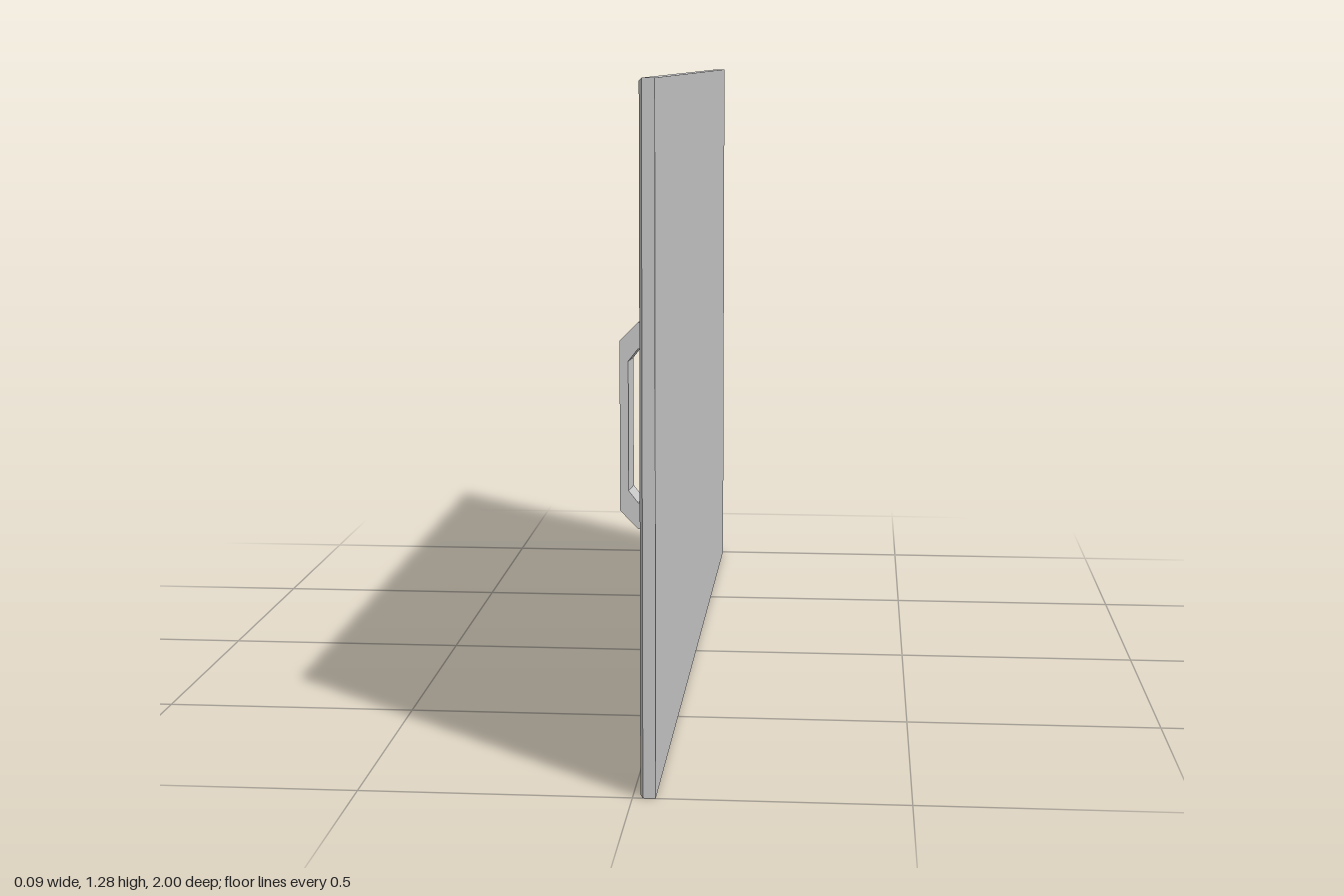
import * as THREE from 'three';

const material = new THREE.MeshStandardMaterial({ color: 0xcccccc, flatShading: true });

function box(name, x0, x1, y0, y1, z0, z1) {
  const geometry = new THREE.BoxGeometry(x1 - x0, y1 - y0, z1 - z0);
  geometry.translate((x0 + x1) / 2, (y0 + y1) / 2, (z0 + z1) / 2);
  const mesh = new THREE.Mesh(geometry, material);
  mesh.name = name;
  return mesh;
}

export function createModel() {
  const group = new THREE.Group();
  group.name = 'cabinetDoor';
  const height = 1.28, bevel = 0.005;

  // Door slab
  group.add(box('doorPanel', 0.019, 0.042, 0, height, -1, 1));

  // Narrow chamfer around the handle-side face
  const face = box('chamferedFace', 0.014, 0.019, 0, height, -1, 1);
  const p = face.geometry.attributes.position;
  for (let i = 0; i < p.count; i++) {
    if (p.getX(i) > 0.016) continue;
    p.setY(i, p.getY(i) > 0.5 ? height - bevel : bevel);
    p.setZ(i, Math.sign(p.getZ(i)) * (1 - bevel));
  }
  face.geometry.computeVertexNormals();
  group.add(face);

  // Angular pull handle: upper half of the profile, mirrored about its middle
  const middle = 0.634, z0 = 0.702, z1 = 0.757;
  const outer = [[0.016, 0.195], [-0.01, 0.195], [-0.044, 0.16]];
  const inner = [[-0.028, 0.122], [-0.01, 0.145], [0.016, 0.145]];
  const mirror = (points) => [...points].reverse().map(([x, y]) => [x, -y]);
  const outline = [...outer, ...mirror(outer), ...mirror(inner), ...inner];
  const shape = new THREE.Shape(outline.map(([x, y]) => new THREE.Vector2(x, y)));
  const grip = new THREE.ExtrudeGeometry(shape, { depth: z1 - z0, bevelEnabled: false });
  grip.translate(0, middle, z0);

  // Slight slant of the grip away from the door
  const g = grip.attributes.position;
  for (let i = 0; i < g.count; i++) {
    if (g.getX(i) < 0) g.setX(i, g.getX(i) - (g.getZ(i) - (z0 + z1) / 2) * 0.08);
  }
  grip.computeVertexNormals();
  const handle = new THREE.Mesh(grip, material);
  handle.name = 'handle';
  group.add(handle);
  return group;
}
